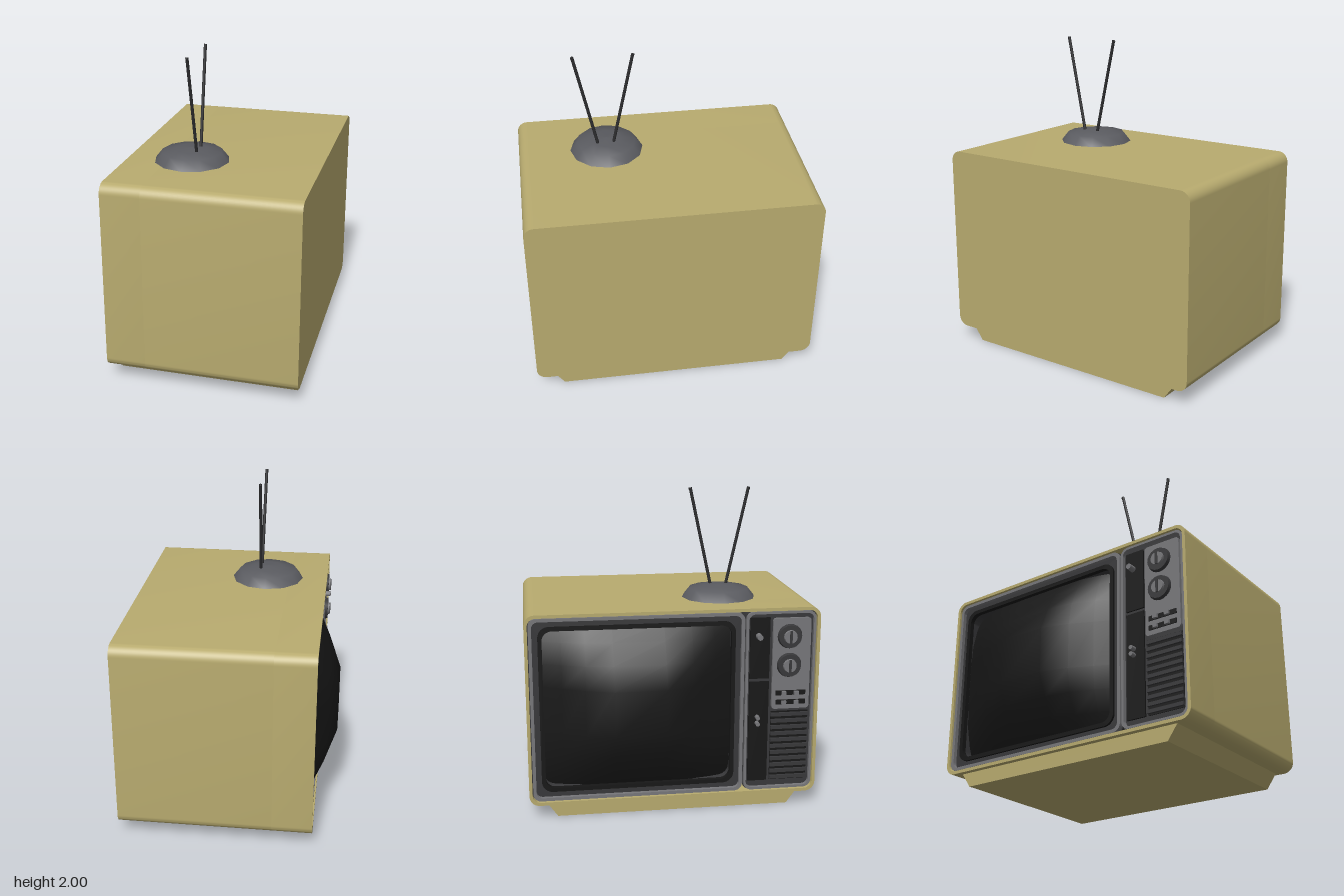
import * as THREE from 'three';
import { toCreasedNormals } from 'three/addons/utils/BufferGeometryUtils.js';

const mat = (color) => new THREE.MeshStandardMaterial({ color });
const olive = mat(0xb8ab6f), dark = mat(0x38383a), black = mat(0x171717);
const metal = mat(0x77777a), domeGrey = mat(0x5a5b60), rodGrey = mat(0x2c2c2e);

// Rounded rectangle between two corners
function roundRect(x0, y0, x1, y1, r, Type = THREE.Shape) {
  const s = new Type();
  s.moveTo(x0 + r, y0);
  s.lineTo(x1 - r, y0);
  s.absarc(x1 - r, y0 + r, r, -Math.PI / 2, 0);
  s.lineTo(x1, y1 - r);
  s.absarc(x1 - r, y1 - r, r, 0, Math.PI / 2);
  s.lineTo(x0 + r, y1);
  s.absarc(x0 + r, y1 - r, r, Math.PI / 2, Math.PI);
  s.lineTo(x0, y0 + r);
  s.absarc(x0 + r, y0 + r, r, Math.PI, Math.PI * 1.5);
  return s;
}

export function createModel() {
  const model = new THREE.Group();
  // The set is built with its screen along +z, then turned to face -x
  const tv = new THREE.Group();
  tv.name = 'television';
  tv.rotation.y = -Math.PI / 2;
  model.add(tv);

  function add(name, geometry, material, x = 0, y = 0, z = 0) {
    const m = new THREE.Mesh(geometry, material);
    m.name = name;
    m.position.set(x, y, z);
    tv.add(m);
    return m;
  }
  function slab(name, shape, z0, z1, material) {
    const g = new THREE.ExtrudeGeometry(shape, { depth: z1 - z0, bevelEnabled: false, curveSegments: 6 });
    return add(name, toCreasedNormals(g, 0.6), material, 0, 0, z0);
  }
  function ring(name, outer, hole, z0, z1, material) {
    const s = roundRect(...outer);
    s.holes.push(roundRect(...hole, THREE.Path));
    return slab(name, s, z0, z1, material);
  }
  function knob(name, x, y, z0, z1, r, material, sides = 16) {
    const g = new THREE.CylinderGeometry(r * 0.9, r, z1 - z0, sides).rotateX(Math.PI / 2);
    return add(name, g, material, x, y, (z0 + z1) / 2);
  }

  // Cabinet: solid back and a thin rim round the recessed front
  const outer = [-0.91, 0.09, 0.91, 1.305, 0.065];
  slab('cabinet', roundRect(...outer), -0.66, 0.3, olive);
  ring('cabinetRim', outer, [-0.89, 0.11, 0.89, 1.285, 0.05], 0.3, 0.55, olive);

  // Tapered foot
  const foot = new THREE.Shape();
  foot.moveTo(-0.735, 0);
  foot.lineTo(0.735, 0);
  foot.lineTo(0.8, 0.09);
  foot.lineTo(-0.8, 0.09);
  foot.closePath();
  slab('foot', foot, -0.63, 0.515, olive);

  // Screen surround
  ring('screenFrame', [-0.89, 0.11, 0.44, 1.285, 0.05], [-0.81, 0.19, 0.36, 1.205, 0.06], 0.3, 0.515, dark);
  ring('screenTrim', [-0.885, 0.115, 0.435, 1.28, 0.05], [-0.865, 0.135, 0.415, 1.26, 0.04], 0.5, 0.54, metal);
  ring('screenLip', [-0.83, 0.17, 0.38, 1.225, 0.07], [-0.805, 0.195, 0.355, 1.2, 0.06], 0.5, 0.53, black);

  // Faceted bulging glass
  const halfX = [0.16, 0.33, 0.47, 0.6], halfY = [0.145, 0.29, 0.42, 0.52];
  const drop = [0, 0.055, 0.12, 0.18];
  const glass = new THREE.PlaneGeometry(7, 7, 7, 7);
  const p = glass.attributes.position;
  for (let i = 0; i < p.count; i++) {
    const x = p.getX(i), y = p.getY(i);
    const a = Math.floor(Math.abs(x)), b = Math.floor(Math.abs(y));
    p.setXYZ(i, Math.sign(x) * halfX[a], Math.sign(y) * halfY[b], -Math.hypot(drop[a], drop[b]));
  }
  glass.computeVertexNormals();
  add('screenGlass', glass, black, -0.22, 0.7, 0.67);

  // Control panel
  slab('controlPanel', roundRect(0.44, 0.11, 0.89, 1.285, 0.05), 0.3, 0.515, dark);
  ring('controlTrim', [0.445, 0.115, 0.885, 1.28, 0.05], [0.46, 0.13, 0.87, 1.265, 0.04], 0.5, 0.54, metal);
  add('panelColumnUpper', new THREE.BoxGeometry(0.125, 0.39, 0.02), black, 0.535, 1.045, 0.515);
  add('panelColumnLower', new THREE.BoxGeometry(0.125, 0.66, 0.02), black, 0.535, 0.5, 0.515);
  slab('dialPlate', roundRect(0.615, 0.65, 0.855, 1.235, 0.02), 0.51, 0.535, metal);

  // Channel dials
  for (const y of [1.12, 0.935]) {
    knob('dialRing', 0.72, y, 0.53, 0.555, 0.08, dark, 20);
    knob('dialKnob', 0.72, y, 0.55, 0.568, 0.045, metal);
    add('dialGrip', new THREE.BoxGeometry(0.016, 0.08, 0.014), dark, 0.72, y, 0.565);
  }
  // Small knobs and sliders
  knob('powerKnob', 0.525, 1.125, 0.51, 0.575, 0.02, metal, 10);
  for (const y of [0.6, 0.56]) knob('tuningKnob', 0.525, y, 0.51, 0.56, 0.015, metal, 10);
  for (const y of [0.755, 0.695]) {
    add('sliderSlot', new THREE.BoxGeometry(0.19, 0.03, 0.01), black, 0.735, y, 0.535);
    for (const x of [0.69, 0.77]) add('sliderTab', new THREE.BoxGeometry(0.03, 0.022, 0.02), metal, x, y, 0.545);
  }

  // Speaker grille
  add('speakerBack', new THREE.BoxGeometry(0.24, 0.46, 0.01), black, 0.735, 0.4, 0.515);
  for (let i = 0; i < 11; i++)
    add('speakerSlat', new THREE.BoxGeometry(0.24, 0.022, 0.02), dark, 0.735, 0.19 + i * 0.042, 0.525);

  // Aerial: low dome and two rods
  const profile = [[0.24, 1.3], [0.19, 1.363], [0.1, 1.378], [0, 1.387]].map(([x, y]) => new THREE.Vector2(x, y));
  add('aerialDome', new THREE.LatheGeometry(profile, 12), domeGrey, 0.34, 0, 0.15);
  const rods = [[[0.395, 1.36, 0.103], [0.535, 2, 0.115]], [[0.3, 1.36, 0.105], [0.16, 2, 0.11]]];
  for (const [from, to] of rods) {
    const path = new THREE.LineCurve3(new THREE.Vector3(...from), new THREE.Vector3(...to));
    add('aerialRod', new THREE.TubeGeometry(path, 1, 0.01, 8), rodGrey);
    const tip = new THREE.SphereGeometry(0.01, 8, 6);
    add('aerialTip', tip, rodGrey, to[0], to[1] - 0.01, to[2]);
  }
  return model;
}
